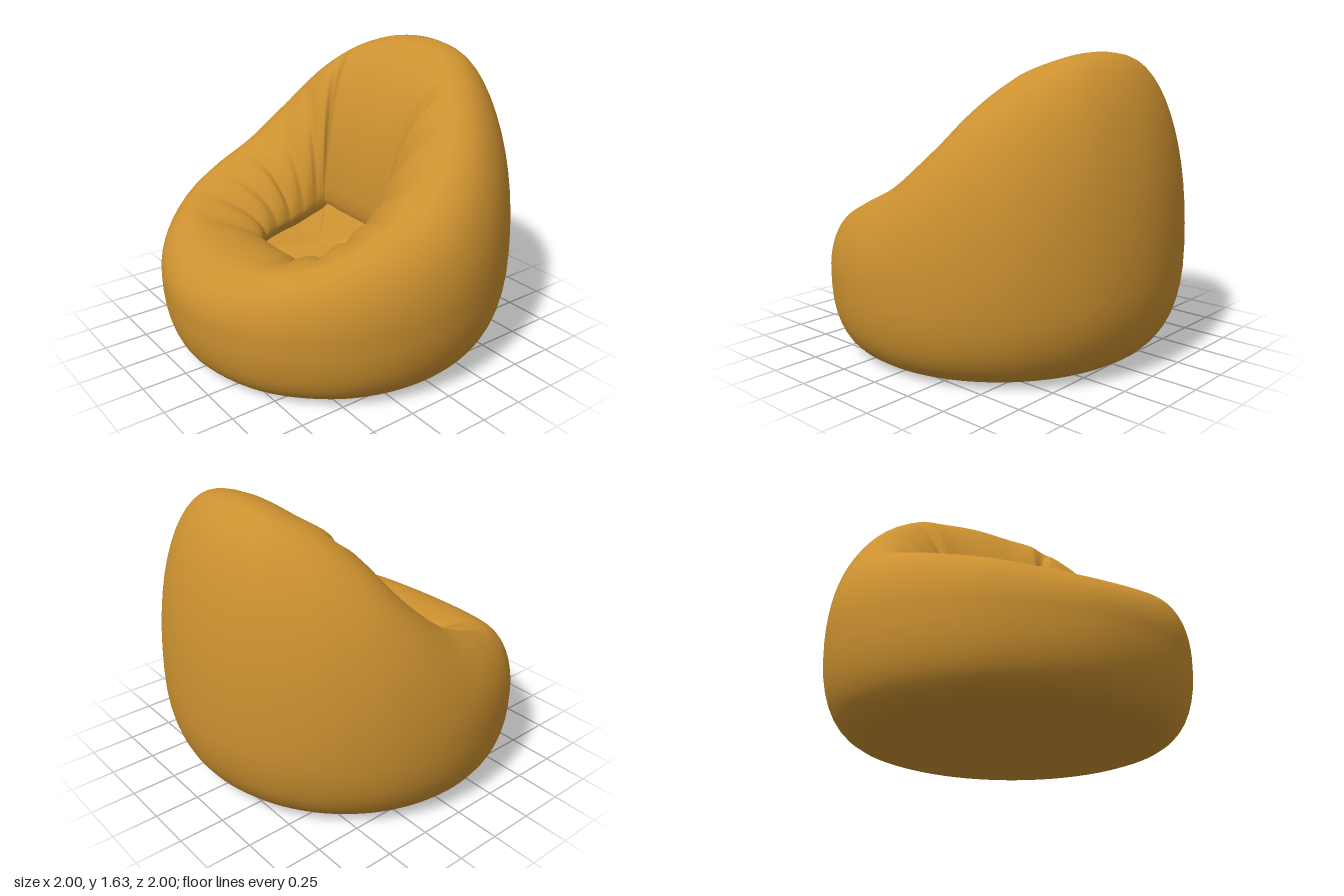
import * as THREE from 'three';

const COLS = 144;

// Half outline from back to front: outline angle, rim crest [x,y,z], seat edge [x,y,z]
const stations = [
  [0, [0, 1.635, -0.63], [0, 0.66, -0.14]],
  [22, [0.25, 1.605, -0.6], [0.15, 0.66, -0.14]],
  [42, [0.43, 1.52, -0.46], [0.27, 0.66, -0.14]],
  [60, [0.57, 1.37, -0.31], [0.29, 0.63, -0.12]],
  [76, [0.67, 1.17, -0.15], [0.3, 0.6, -0.05]],
  [92, [0.71, 0.97, 0.08], [0.31, 0.56, 0.05]],
  [110, [0.69, 0.86, 0.3], [0.31, 0.54, 0.15]],
  [128, [0.62, 0.77, 0.5], [0.29, 0.52, 0.26]],
  [152, [0.41, 0.7, 0.66], [0.23, 0.51, 0.34]],
  [180, [0, 0.67, 0.69], [0, 0.5, 0.36]],
];

// Fabric folds inside the rim: station position, width, depth
const folds = [
  [2.3, 0.22, 0.05], [3.5, 0.2, 0.025], [4.5, 0.18, 0.03],
  [5.4, 0.16, 0.035], [6.3, 0.18, 0.03], [7.2, 0.2, 0.035], [8.1, 0.18, 0.035],
];

// Closed smooth loop through mirrored half-outline points
function loop(points) {
  const half = points.map((p) => new THREE.Vector3(...p));
  const other = half.slice(1, -1).reverse().map((p) => new THREE.Vector3(-p.x, p.y, p.z));
  const curve = new THREE.CatmullRomCurve3([...half, ...other], true);
  return Array.from({ length: COLS }, (_, j) => curve.getPoint(j / COLS));
}

// Skin a list of closed rings, bottom to top on the outside
function skin(rings) {
  const pos = [];
  const index = [];
  rings.forEach((ring) => ring.forEach((p) => pos.push(p.x, p.y, p.z)));
  for (let i = 0; i < rings.length - 1; i++) {
    for (let j = 0; j < COLS; j++) {
      const k = (j + 1) % COLS;
      const a = i * COLS + j, b = a + COLS, c = i * COLS + k, d = c + COLS;
      index.push(a, b, c, c, b, d);
    }
  }
  const geo = new THREE.BufferGeometry();
  geo.setAttribute('position', new THREE.Float32BufferAttribute(pos, 3));
  geo.setIndex(index);
  geo.computeVertexNormals();
  return geo;
}

function foldDepth(j) {
  let u = (j / COLS) * 18;
  if (u > 9) u = 18 - u;
  return folds.reduce((s, [at, w, d]) => s + d * Math.exp(-(((u - at) / w) ** 2)), 0);
}

export function createModel() {
  const fabric = new THREE.MeshStandardMaterial({ color: 0xcc9130 });
  fabric.name = 'ochre fabric';

  const crest = loop(stations.map((s) => s[1]));
  const seatEdge = loop(stations.map((s) => s[2]));
  // Widest line of the bag and the footprint under it
  const ringAt = (fn) => loop(stations.map(([deg]) => {
    const a = THREE.MathUtils.degToRad(deg);
    const [r, y] = fn(Math.cos(a));
    return [r * Math.sin(a), y, -r * Math.cos(a)];
  }));
  const girth = ringAt((c) => [1, 0.49 + 0.1 * c]);
  const foot = ringAt((c) => [0.73 - 0.07 * c, 0]);

  // Blend two rings, horizontally by h and vertically by v
  const blend = (A, B, h, v) => A.map((a, j) => {
    const b = B[j];
    return new THREE.Vector3(a.x + (b.x - a.x) * h, a.y + (b.y - a.y) * v, a.z + (b.z - a.z) * h);
  });

  const rings = [];
  // Lower side, rounding up from the floor
  for (let i = 0; i <= 10; i++) {
    const t = (i / 10) * Math.PI / 2;
    rings.push(blend(foot, girth, Math.sin(t) ** 0.85, 1 - Math.max(0, Math.cos(t)) ** 0.85));
  }
  // Upper side, closing in to the rim
  for (let i = 1; i <= 14; i++) {
    const t = (i / 14) * Math.PI / 2;
    rings.push(blend(girth, crest, 1 - Math.max(0, Math.cos(t)) ** 0.95, Math.sin(t) ** 0.95));
  }
  // Inside of the rim with pleats
  for (let i = 1; i <= 18; i++) {
    const t = (i / 18) * Math.PI / 2;
    const ring = blend(crest, seatEdge, Math.sin(t), 1 - Math.cos(t));
    ring.forEach((p, j) => {
      const d = foldDepth(j) * Math.sin(2 * t);
      const out = crest[j].clone().sub(seatEdge[j]).setY(0).normalize();
      p.addScaledVector(out, d * 0.7);
      p.y -= d * 0.7;
    });
    rings.push(ring);
  }
  // Tuck under the padding at the seat seam
  const seam = seatEdge.map((p) => new THREE.Vector3(p.x * 1.08, p.y - 0.05, 0.11 + (p.z - 0.11) * 1.08));
  rings.push(seam);

  const group = new THREE.Group();
  group.name = 'beanbagChair';
  const add = (name, geo) => {
    const mesh = new THREE.Mesh(geo, fabric);
    mesh.name = name;
    group.add(mesh);
  };

  add('bagBody', skin(rings));

  // Seat panel, slightly sloping down to the front
  const seatCentre = seam.map(() => new THREE.Vector3(0, 0.54, 0.11));
  add('seat', skin([0, 0.35, 0.7, 1].map((k) => blend(seam, seatCentre, k, k))));

  // Flat underside
  const floorCentre = foot.map(() => new THREE.Vector3(0, 0, 0));
  add('underside', skin([floorCentre, foot]));

  return group;
}
